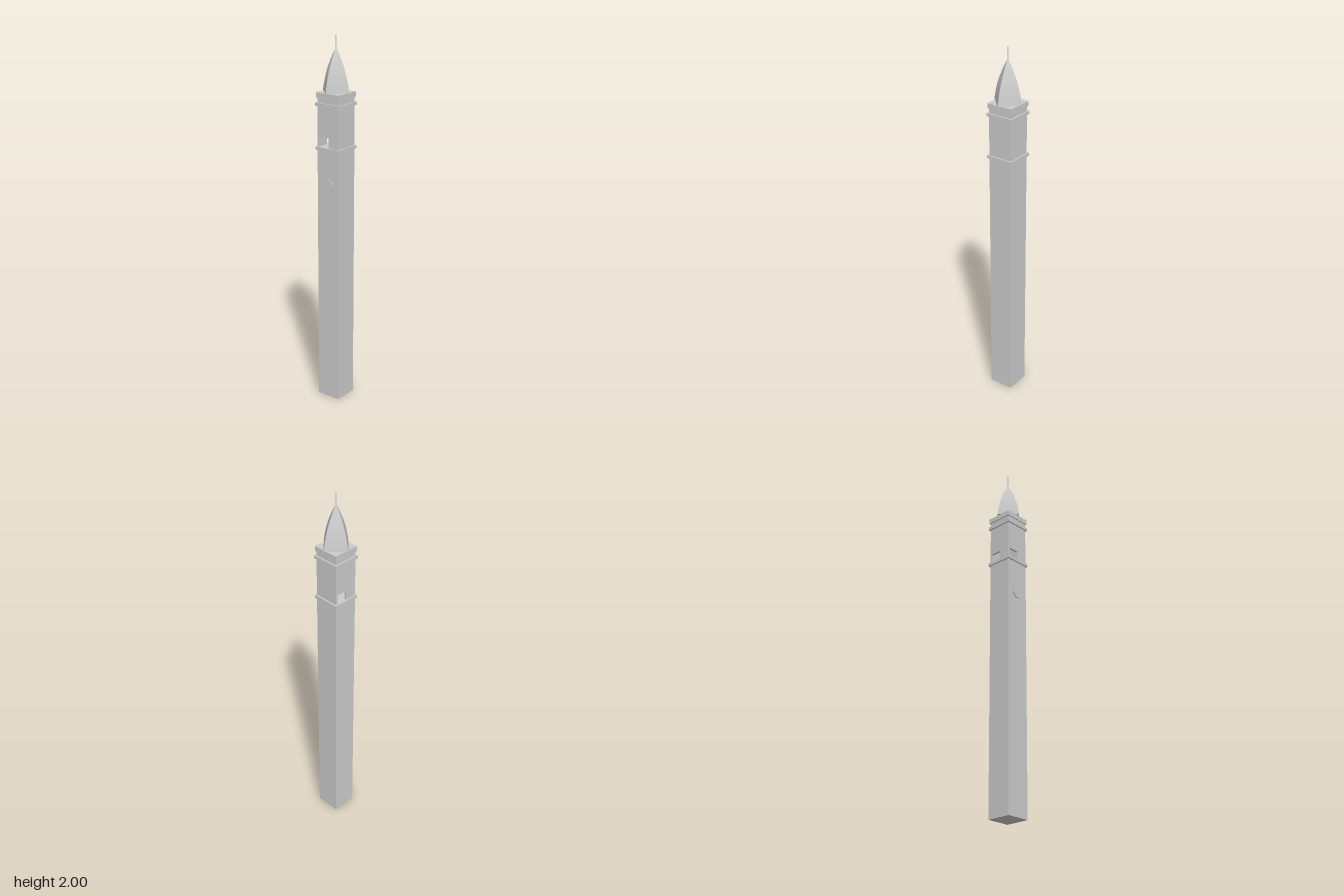
import * as THREE from 'three';
import { toCreasedNormals } from 'three/addons/utils/BufferGeometryUtils.js';

const HALF = 0.068;      // half width of the tower
const WALL = 0.01;       // wall thickness of the upper chamber
const FLOOR = 1.43;      // chamber floor
const CAP = 1.685;       // underside of the cap

export function createModel() {
  const tower = new THREE.Group();
  tower.name = 'tower';
  const stone = new THREE.MeshStandardMaterial({ color: 0xcccccc });
  stone.name = 'pale grey stone';

  const add = (name, geometry, parent = tower) => {
    const mesh = new THREE.Mesh(geometry, stone);
    mesh.name = name;
    parent.add(mesh);
    return mesh;
  };

  // Square slab between two heights
  const slab = (name, half, y0, y1) => {
    const mesh = add(name, new THREE.BoxGeometry(half * 2, y1 - y0, half * 2));
    mesh.position.y = (y0 + y1) / 2;
  };

  slab('shaft', HALF, 0, FLOOR);
  slab('lowerLedge', 0.076, 1.413, FLOOR);
  slab('cap', 0.073, CAP, 1.713);

  // Hollow chamber: four overlapping walls, the front and right ones with an opening
  const chamber = new THREE.Group();
  chamber.name = 'chamber';
  tower.add(chamber);
  const wallGeometry = (open) => {
    const end = HALF - WALL;
    const shape = new THREE.Shape().moveTo(-HALF, FLOOR);
    if (open) {
      shape.lineTo(-0.058, FLOOR).lineTo(-0.058, 1.482).lineTo(0.003, 1.482).lineTo(0.003, FLOOR);
    }
    shape.lineTo(end, FLOOR).lineTo(end, CAP).lineTo(-HALF, CAP).closePath();
    return new THREE.ExtrudeGeometry(shape, { depth: WALL, bevelEnabled: false })
      .translate(0, 0, HALF - WALL);
  };
  ['frontWall', 'leftWall', 'backWall', 'rightWall'].forEach((name, i) => {
    add(name, wallGeometry(i === 0 || i === 3), chamber).rotation.y = i * Math.PI / 2;
  });

  // Ledge around the top of the chamber
  slab('upperLedge', 0.076, 1.643, 1.66);

  // Round plate on the front
  const plate = add('roundPlate', new THREE.CylinderGeometry(0.034, 0.034, 0.006, 32));
  plate.rotation.x = Math.PI / 2;
  plate.position.set(0, 1.23, HALF + 0.002);

  // Four-sided curved roof, its ridges turned to the middle of each wall
  const curve = new THREE.SplineCurve([
    [0.085, 1.714], [0.077, 1.757], [0.063, 1.81], [0.045, 1.855], [0.024, 1.9], [0.002, 1.937],
  ].map(([r, y]) => new THREE.Vector2(r, y)));
  const profile = [new THREE.Vector2(0, 1.714), ...curve.getPoints(12), new THREE.Vector2(0, 1.937)];
  add('roof', toCreasedNormals(new THREE.LatheGeometry(profile, 4), 0.6));

  // Finial rod
  const finial = add('finial', new THREE.CylinderGeometry(0.002, 0.003, 0.075, 8));
  finial.position.y = 1.9625;

  return tower;
}
